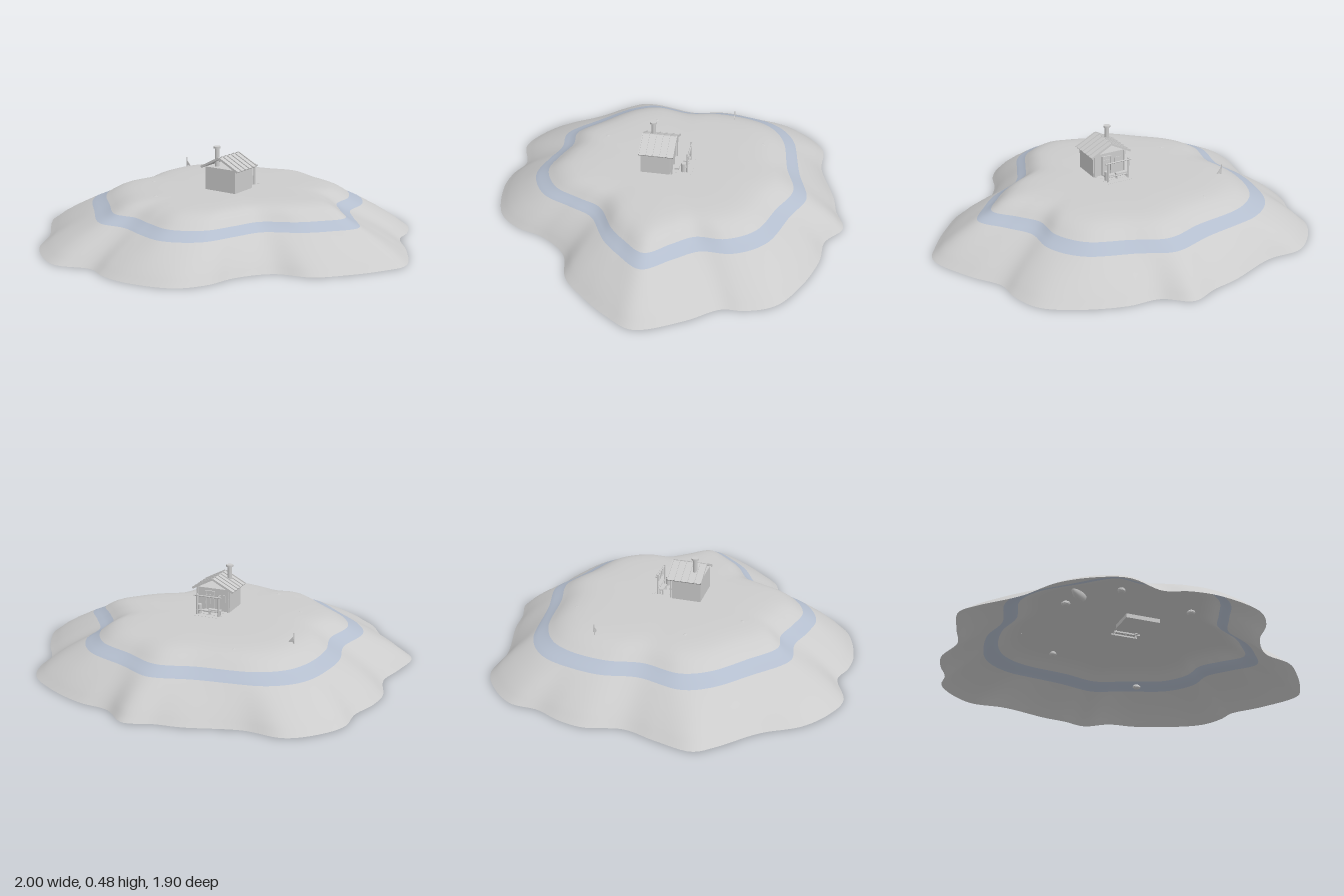
import * as THREE from 'three';

const grey = new THREE.MeshStandardMaterial({ color: 0xcccccc, side: THREE.DoubleSide });
const flat = new THREE.MeshStandardMaterial({ color: 0xcccccc, flatShading: true });
const foam = new THREE.MeshStandardMaterial({ color: 0xb4bece, side: THREE.DoubleSide });

// x, z pairs around the island foot and around its waterline
const FOOT = [1, -.01, .94, .12, .83, .27, .71, .39, .54, .45, .42, .6, .37, .75, .27, .87, .03, .94, -.11, .93,
  -.22, .89, -.4, .945, -.53, .9, -.67, .79, -.78, .61, -.94, .44, -1, .35, -.97, .16, -.93, 0, -.97, -.19,
  -.95, -.32, -.9, -.45, -.89, -.59, -.8, -.72, -.67, -.81, -.48, -.81, -.21, -.89, -.08, -.91, .06, -.95,
  .19, -.86, .35, -.84, .56, -.76, .72, -.65, .78, -.51, .79, -.4, .9, -.24];
const SHORE = [.72, 0, .63, .13, .55, .21, .38, .32, .32, .45, .24, .61, .08, .7, -.08, .67, -.21, .63, -.34, .64,
  -.5, .51, -.67, .35, -.73, .21, -.69, 0, -.72, -.19, -.69, -.4, -.62, -.53, -.48, -.62, -.18, -.67, .03, -.72,
  .22, -.64, .43, -.55, .53, -.4, .54, -.24, .62, -.13];

// radius of a smooth closed outline as a function of angle
function radiusOf(flatPts) {
  const pts = [];
  for (let i = 0; i < flatPts.length; i += 2) pts.push(new THREE.Vector3(flatPts[i], 0, flatPts[i + 1]));
  const turn = Math.PI * 2;
  const polar = new THREE.CatmullRomCurve3(pts, true, 'centripetal').getPoints(900)
    .map(p => [(Math.atan2(p.z, p.x) + turn) % turn, Math.hypot(p.x, p.z)])
    .sort((a, b) => a[0] - b[0]);
  return angle => {
    let i = polar.findIndex(p => p[0] >= angle);
    if (i <= 0) return polar[0][1];
    const [a0, r0] = polar[i - 1], [a1, r1] = polar[i];
    return r0 + (r1 - r0) * (angle - a0) / Math.max(a1 - a0, 1e-6);
  };
}

// slope rows: [1 + blend to the foot, or share of the shore radius, height]
const ROWS = [[2, .004], [1.87, .03], [1.75, .056], [1.5, .098], [1.25, .134], [1.1, .155], [1, .167], [.965, .178],
  [.93, .192], [.89, .21], [.85, .226], [.8, .24], [.74, .25], [.65, .256], [.5, .259], [.25, .26], [0, .26]];
const SEG = 240;

function island(group) {
  const foot = radiusOf(FOOT), shore = radiusOf(SHORE), pos = [];
  for (const [k, y] of ROWS) {
    for (let i = 0; i < SEG; i++) {
      const a = i / SEG * Math.PI * 2, s = shore(a);
      const r = k > 1 ? s + (foot(a) - s) * (k - 1) : s * k;
      pos.push(Math.cos(a) * r, y, Math.sin(a) * r);
    }
  }
  const rows = (from, to) => {
    const idx = [];
    for (let j = from; j < to; j++) for (let i = 0; i < SEG; i++) {
      const n = (i + 1) % SEG, a = j * SEG + i, b = j * SEG + n, c = a + SEG, d = b + SEG;
      idx.push(a, c, b, b, c, d);
    }
    return idx;
  };
  const whole = new THREE.BufferGeometry();
  whole.setAttribute('position', new THREE.Float32BufferAttribute(pos, 3));
  whole.setIndex(rows(0, ROWS.length - 1));
  whole.computeVertexNormals();
  // bands share normals so the seams stay smooth
  const bands = [['sandSlope', 0, 5, grey], ['foamBand', 5, 8, foam], ['plateau', 8, ROWS.length - 1, grey]];
  for (const [name, from, to, material] of bands) {
    const g = whole.clone();
    g.setIndex(rows(from, to));
    add(group, name, g, 0, 0, 0, material);
  }
}

function add(group, name, geometry, x, y, z, material = flat) {
  const m = new THREE.Mesh(geometry, material);
  m.name = name;
  m.position.set(x, y, z);
  group.add(m);
  return m;
}
const box = (g, name, w, h, d, x, y, z) => add(g, name, new THREE.BoxGeometry(w, h, d), x, y, z);
const rod = (g, name, r, h, x, y, z, sides = 10) =>
  add(g, name, new THREE.CylinderGeometry(r, r, h, sides), x, y, z, grey);

function cabin() {
  const g = new THREE.Group();
  g.name = 'cabin';
  box(g, 'walls', .19, .145, .155, .003, .31, .057);
  // thin pitched roof with battens over open gables
  for (const side of [-1, 1]) {
    const slope = new THREE.Group();
    slope.name = 'roofSlope';
    slope.position.set(side * .057, .406, .05);
    slope.rotation.z = -side * .48;
    box(slope, 'roofSheet', .13, .006, .186, 0, 0, 0);
    for (let i = 0; i < 6; i++) box(slope, 'roofBatten', .13, .006, .005, 0, .005, -.0905 + i * .0362);
    g.add(slope);
  }
  rod(g, 'ridge', .004, .19, 0, .435, .05).rotation.x = Math.PI / 2;
  // stove pipe
  rod(g, 'chimney', .012, .13, -.045, .42, .092, 16);
  rod(g, 'chimneyCap', .019, .01, -.045, .484, .092, 16);
  // door and window on the porch wall
  box(g, 'door', .042, .085, .004, .02, .303, -.022);
  for (const x of [-.005, .045]) box(g, 'doorPost', .006, .11, .008, x, .313, -.026);
  box(g, 'doorLintel', .056, .006, .008, .02, .366, -.026);
  box(g, 'windowFrame', .04, .04, .005, -.05, .33, -.022);
  for (const x of [-.085, .09]) box(g, 'porchPost', .007, .125, .007, x, .32, -.03);
  return g;
}

// drying rack, table and stool behind the cabin
function yard() {
  const g = new THREE.Group();
  g.name = 'yard';
  for (const x of [-.065, .058]) rod(g, 'rackPost', .005, .135, x, .307, -.108);
  rod(g, 'rackBeam', .004, .155, -.003, .365, -.112).rotation.z = Math.PI / 2;
  rod(g, 'rackRail', .003, .13, -.003, .285, -.108).rotation.z = Math.PI / 2;
  for (let i = 0; i < 4; i++) box(g, 'hangingCatch', .008, .034, .003, -.04 + i * .026, .343, -.11);
  box(g, 'tableTop', .07, .006, .022, -.035, .288, -.088);
  for (const x of [-.065, -.005]) for (const z of [-.095, -.081]) box(g, 'tableLeg', .005, .04, .005, x, .268, z);
  rod(g, 'barrel', .012, .055, .052, .283, -.087, 12);
  box(g, 'step', .05, .012, .024, .02, .264, -.05);
  // joists set into the ground
  for (const z of [-.05, -.09, -.13]) box(g, 'joist', .15, .01, .008, 0, .256, z);
  return g;
}

// small upturned-section hull built from a squeezed half sphere
function boat() {
  const g = new THREE.Group();
  g.name = 'boat';
  const hull = new THREE.SphereGeometry(1, 16, 8, 0, Math.PI * 2, Math.PI / 2, Math.PI / 2);
  hull.scale(.06, .035, .024);
  add(g, 'hull', hull, 0, 0, 0, grey);
  for (const x of [-.02, .02]) box(g, 'thwart', .01, .004, .044, x, -.005, 0);
  g.position.set(-.41, .235, .3);
  g.rotation.y = .7;
  return g;
}

export function createModel() {
  const root = new THREE.Group();
  root.name = 'islandWithCabin';
  island(root);
  root.add(cabin(), yard(), boat());

  // marker with a small pennant near the rim
  const fin = new THREE.Shape([[0, 0], [.028, 0], [.004, .03]].map(p => new THREE.Vector2(...p)));
  const finGeo = new THREE.ExtrudeGeometry(fin, { depth: .004, bevelEnabled: false });
  add(root, 'pennant', finGeo, -.538, .252, -.287);
  rod(root, 'markerPole', .003, .06, -.538, .272, -.285);

  // stones half sunk under the turf
  const stones = [[.25, -.56, .15], [-.3, -.47, .237], [-.43, .15, .245], [-.22, .39, .245], [.2, .3, .242]];
  stones.forEach(([x, z, y], i) => {
    const s = add(root, 'stone', new THREE.IcosahedronGeometry(.024, 1), x, y, z);
    s.scale.set(1, .6, .85);
    s.rotation.y = i * 1.3;
  });
  return root;
}
